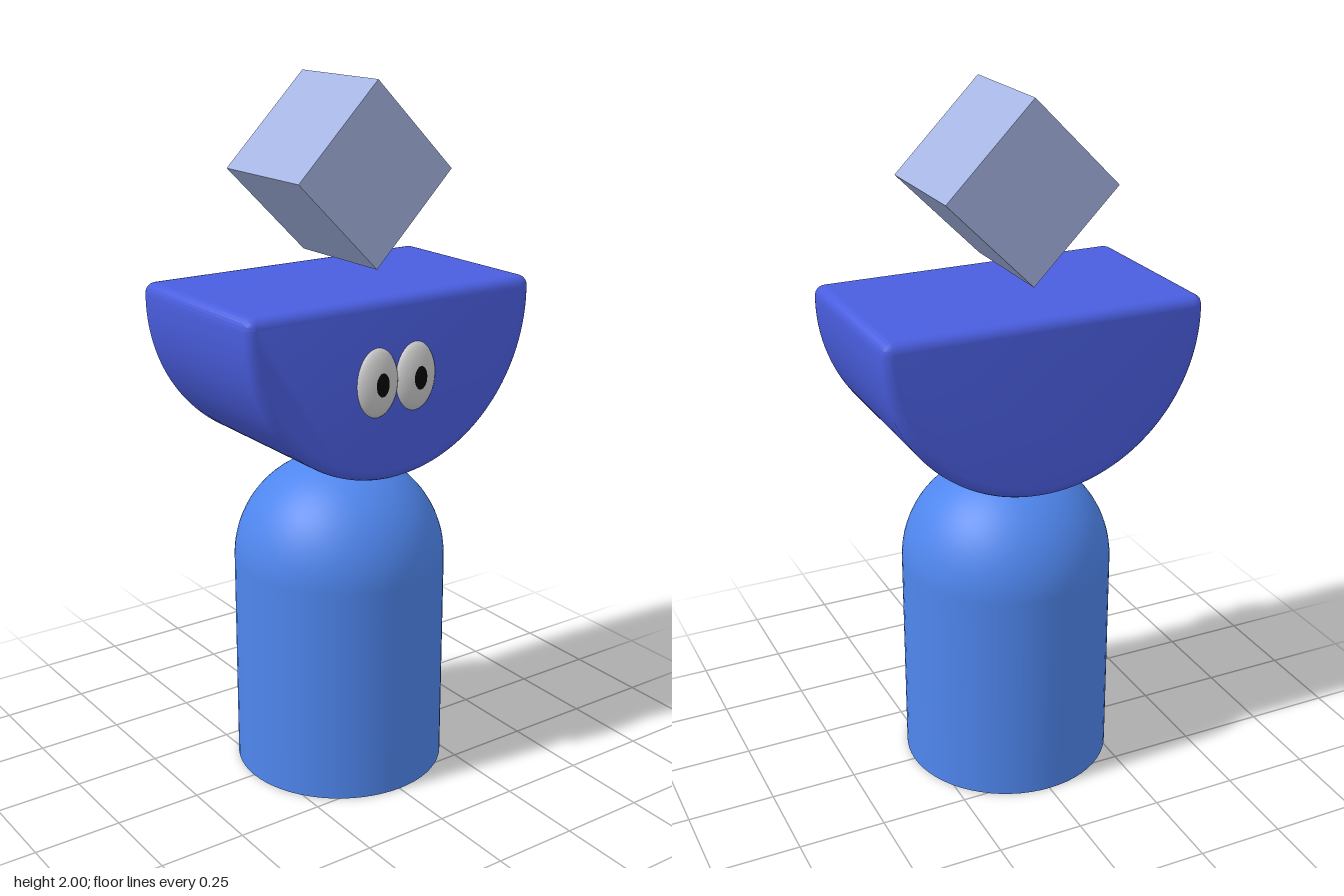
import * as THREE from 'three';
import { toCreasedNormals } from 'three/addons/utils/BufferGeometryUtils.js';

function part(name, geometry, color, x = 0, y = 0, z = 0) {
  const mesh = new THREE.Mesh(geometry, new THREE.MeshStandardMaterial({ color }));
  mesh.name = name;
  mesh.position.set(x, y, z);
  return mesh;
}

// Half-disc head with rounded upper corners and bevelled edges
function headGeometry() {
  const r = 0.465, cy = 1.405, top = 1.45, c = 0.035, bevel = 0.03;
  const s = new THREE.Shape();
  s.absarc(0, cy, r, Math.PI, Math.PI * 2, false);
  s.lineTo(r, top - c);
  s.quadraticCurveTo(r, top, r - c, top);
  s.lineTo(-r + c, top);
  s.quadraticCurveTo(-r, top, -r, top - c);
  s.closePath();
  const g = new THREE.ExtrudeGeometry(s, {
    depth: 0.55 - 2 * bevel, bevelSize: bevel, bevelThickness: bevel,
    bevelOffset: -bevel, bevelSegments: 5, curveSegments: 48,
  });
  g.translate(0, 0, -0.28 + bevel);
  return toCreasedNormals(g, 0.6);
}

export function createModel() {
  const model = new THREE.Group();

  // Body: cylinder with a domed top and a flat base
  const R = 0.305, domeY = 0.635;
  const profile = [new THREE.Vector2(R, 0)];
  for (let i = 0; i <= 20; i++) {
    const a = (i / 20) * Math.PI / 2;
    profile.push(new THREE.Vector2(R * Math.cos(a), domeY + R * Math.sin(a)));
  }
  model.add(part('body', new THREE.LatheGeometry(profile, 64), 0x4f86ee));
  const base = part('bodyBase', new THREE.CircleGeometry(R, 64), 0x4f86ee);
  base.rotation.x = Math.PI / 2;
  model.add(base);

  model.add(part('head', headGeometry(), 0x4a5ee0));

  // Eyes: flattened spheres with smaller dark pupils
  for (const [side, x] of [['right', -0.066], ['left', 0.06]]) {
    const eye = part(side + 'Eye', new THREE.SphereGeometry(1, 32, 20), 0xcccccc, x, 1.225, 0.265);
    eye.scale.set(0.067, 0.097, 0.033);
    const pupil = part(side + 'Pupil', new THREE.SphereGeometry(1, 24, 16), 0x050505, x, 1.225, 0.285);
    pupil.scale.set(0.028, 0.043, 0.017);
    model.add(eye, pupil);
  }

  // Floating cube balanced on its edge
  const cube = part('floatingCube', new THREE.BoxGeometry(0.35, 0.35, 0.35), 0xa5b4e2, 0, 1.7525, 0);
  cube.rotation.z = Math.PI / 4;
  model.add(cube);

  return model;
}
